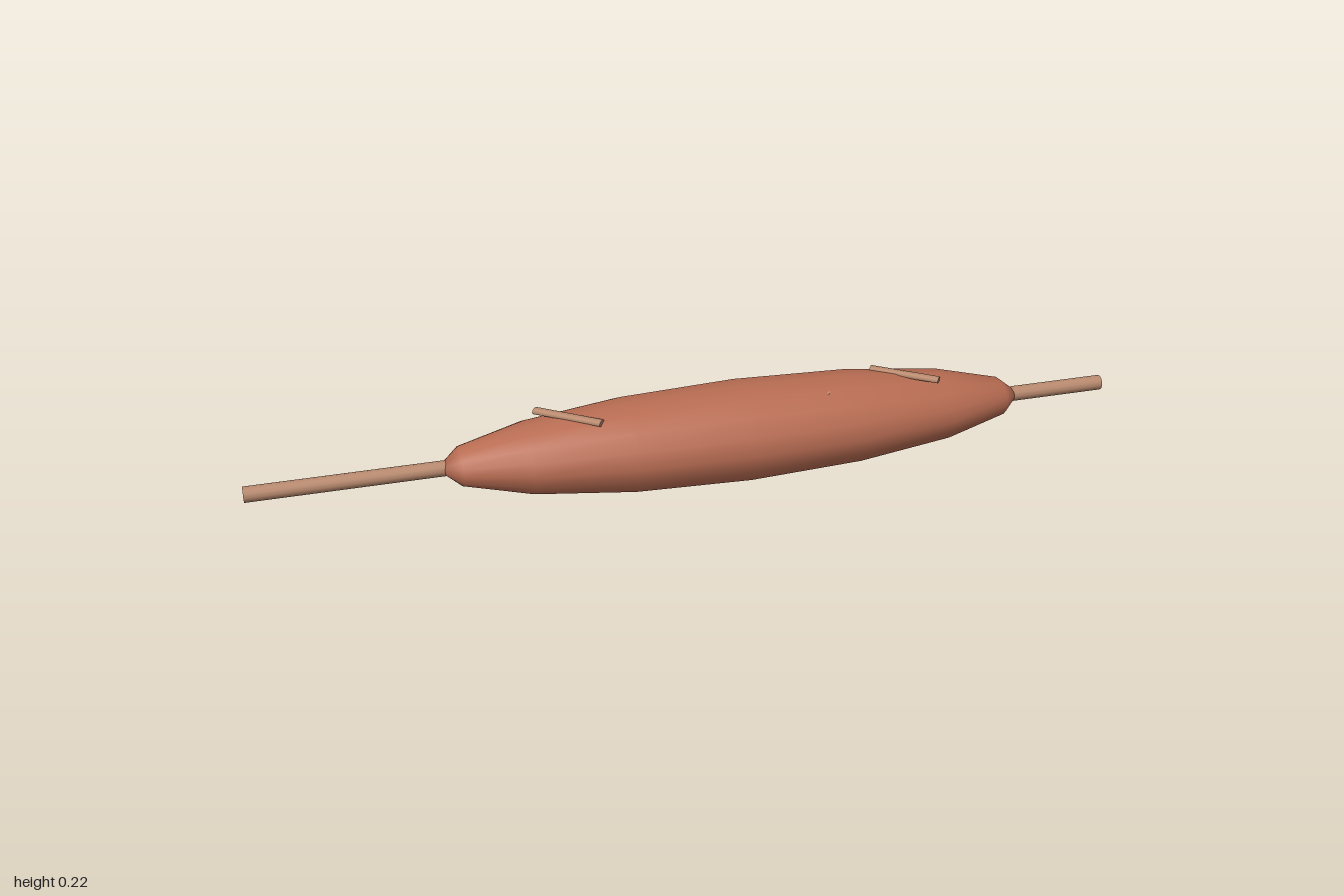
import * as THREE from 'three';

const AXIS_Y = 0.112;

function material(name, color) {
  const m = new THREE.MeshStandardMaterial({ color });
  m.name = name;
  return m;
}

export function createModel() {
  const model = new THREE.Group();
  model.name = 'sausageOnStick';
  const meat = material('sausage brown', 0xb96d53);
  const wood = material('stick tan', 0xb98a6e);

  const add = (name, geometry, mat, x, y, z) => {
    const mesh = new THREE.Mesh(geometry, mat);
    mesh.name = name;
    mesh.position.set(x, y, z);
    model.add(mesh);
    return mesh;
  };

  // Long ellipsoid body with its poles on the stick's axis
  const body = new THREE.SphereGeometry(1, 16, 8);
  body.rotateZ(Math.PI / 2);
  add('sausage', body, meat, 0.1, AXIS_Y, 0).scale.set(0.69, 0.111, 0.139);

  // Stick running through the whole body
  const stick = new THREE.CylinderGeometry(0.0175, 0.0175, 2, 12);
  stick.rotateZ(Math.PI / 2);
  add('stick', stick, wood, 0, AXIS_Y, 0);

  // Four slanted score marks; the middle two are almost sunk in the body
  const mark = new THREE.CylinderGeometry(1, 1, 0.163, 8);
  mark.rotateZ(Math.PI / 2);
  mark.scale(1, 0.007, 0.012);
  for (let i = 0; i < 4; i++) {
    const m = add('scoreMark' + (i + 1), mark, wood, -0.295 + i * 0.2633, 0.201, 0.003);
    m.rotation.y = -0.655;
  }
  return model;
}
